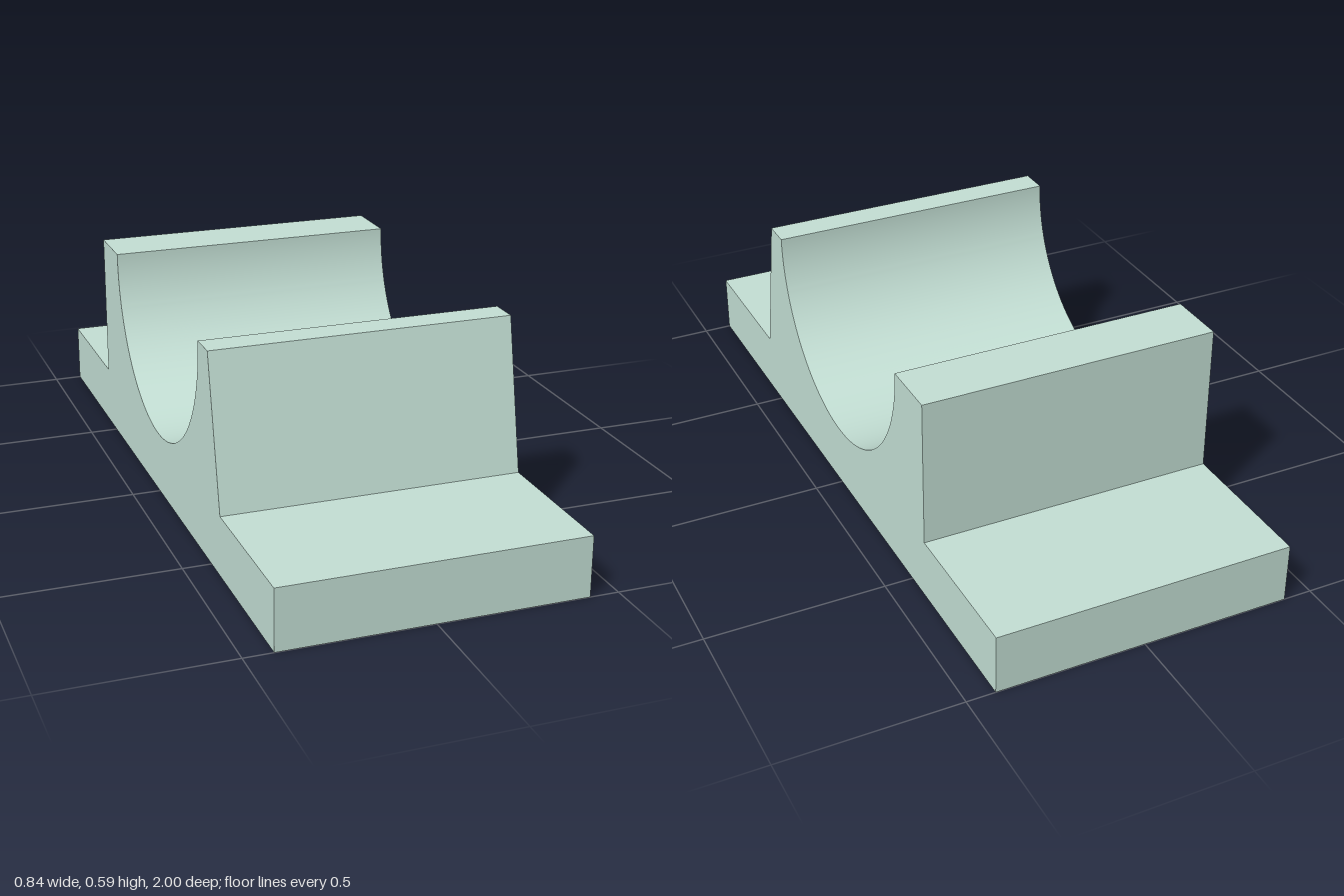
import * as THREE from 'three';
import { toCreasedNormals } from 'three/addons/utils/BufferGeometryUtils.js';

const WIDTH = 0.84, TOP = 0.588, BASE = 0.17, RADIUS = 0.412;

export function createModel() {
  const group = new THREE.Group();
  group.name = 'cradleBlock';

  // Side profile: shape x becomes the model's z
  const profile = new THREE.Shape();
  profile.moveTo(-1, 0);
  profile.lineTo(1, 0);
  profile.lineTo(1, BASE);
  profile.lineTo(0.58, BASE);
  profile.lineTo(0.495, TOP); // sloped front wall
  profile.lineTo(RADIUS, TOP);
  profile.absarc(0, TOP, RADIUS, 0, -Math.PI, true); // half-round saddle
  profile.lineTo(-0.58, TOP); // upright back wall
  profile.lineTo(-0.58, BASE);
  profile.lineTo(-1, BASE);
  profile.closePath();

  // Extrude across the width, smooth only along the saddle
  const extruded = new THREE.ExtrudeGeometry(profile, {
    depth: WIDTH, bevelEnabled: false, curveSegments: 64,
  });
  extruded.translate(0, 0, -WIDTH / 2);
  extruded.rotateY(-Math.PI / 2);

  const material = new THREE.MeshStandardMaterial({ color: 0xc4e0d5 });
  const block = new THREE.Mesh(toCreasedNormals(extruded, 0.15), material);
  block.name = 'saddleBase';
  group.add(block);
  return group;
}
